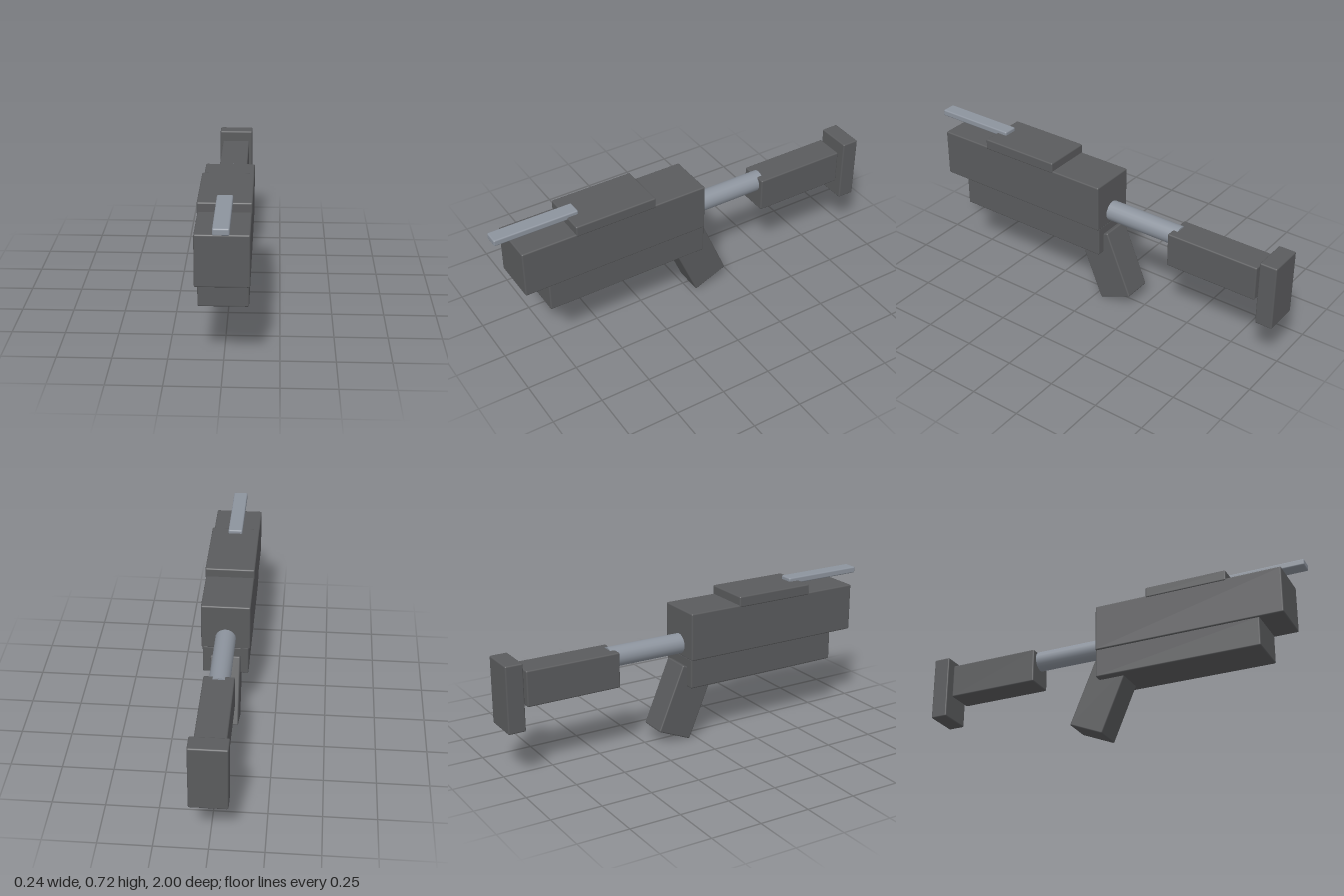
import * as THREE from 'three';
import { RoundedBoxGeometry } from 'three/addons/geometries/RoundedBoxGeometry.js';

export function createModel() {
  const group = new THREE.Group();
  const darkGrey = new THREE.MeshStandardMaterial({ name: 'darkGrey', color: 0x5a5b5d });
  const steel = new THREE.MeshStandardMaterial({ name: 'steel', color: 0x8c939d });

  // Softly bevelled block, centred on x, spanning the given y and z ranges
  function block(name, width, [y0, y1], [z0, z1], material = darkGrey) {
    const geometry = new RoundedBoxGeometry(width, y1 - y0, z1 - z0, 2, 0.007);
    const mesh = new THREE.Mesh(geometry, material);
    mesh.name = name;
    mesh.position.set(0, (y0 + y1) / 2, (z0 + z1) / 2);
    group.add(mesh);
    return mesh;
  }

  // Body
  block('upperBody', 0.238, [0.43, 0.668], [-0.05, 0.91]);
  block('lowerBody', 0.225, [0.287, 0.437], [-0.05, 0.79]);
  block('topCover', 0.244, [0.657, 0.712], [0.222, 0.638]);
  block('topRail', 0.072, [0.698, 0.73], [0.58, 1.0], steel);

  // Shoulder stock
  block('stock', 0.145, [0.356, 0.531], [-0.893, -0.417]);
  block('buttPlate', 0.177, [0.249, 0.578], [-1.0, -0.913]);

  // Tube joining body and stock
  const tube = new THREE.Mesh(new THREE.CylinderGeometry(0.05, 0.05, 0.44, 20), steel);
  tube.name = 'stockTube';
  tube.rotation.x = Math.PI / 2;
  tube.position.set(0, 0.49, -0.225);
  group.add(tube);

  // Grip, raked backwards
  const grip = block('grip', 0.147, [0.029, 0.377], [-0.146, 0.04]);
  grip.rotation.x = 0.4;

  // Small block behind the grip's top, just wider than the grip
  block('gripCollar', 0.178, [0.249, 0.3], [-0.045, -0.04]).visible = false;
  group.remove(group.getObjectByName('gripCollar'));

  return group;
}
